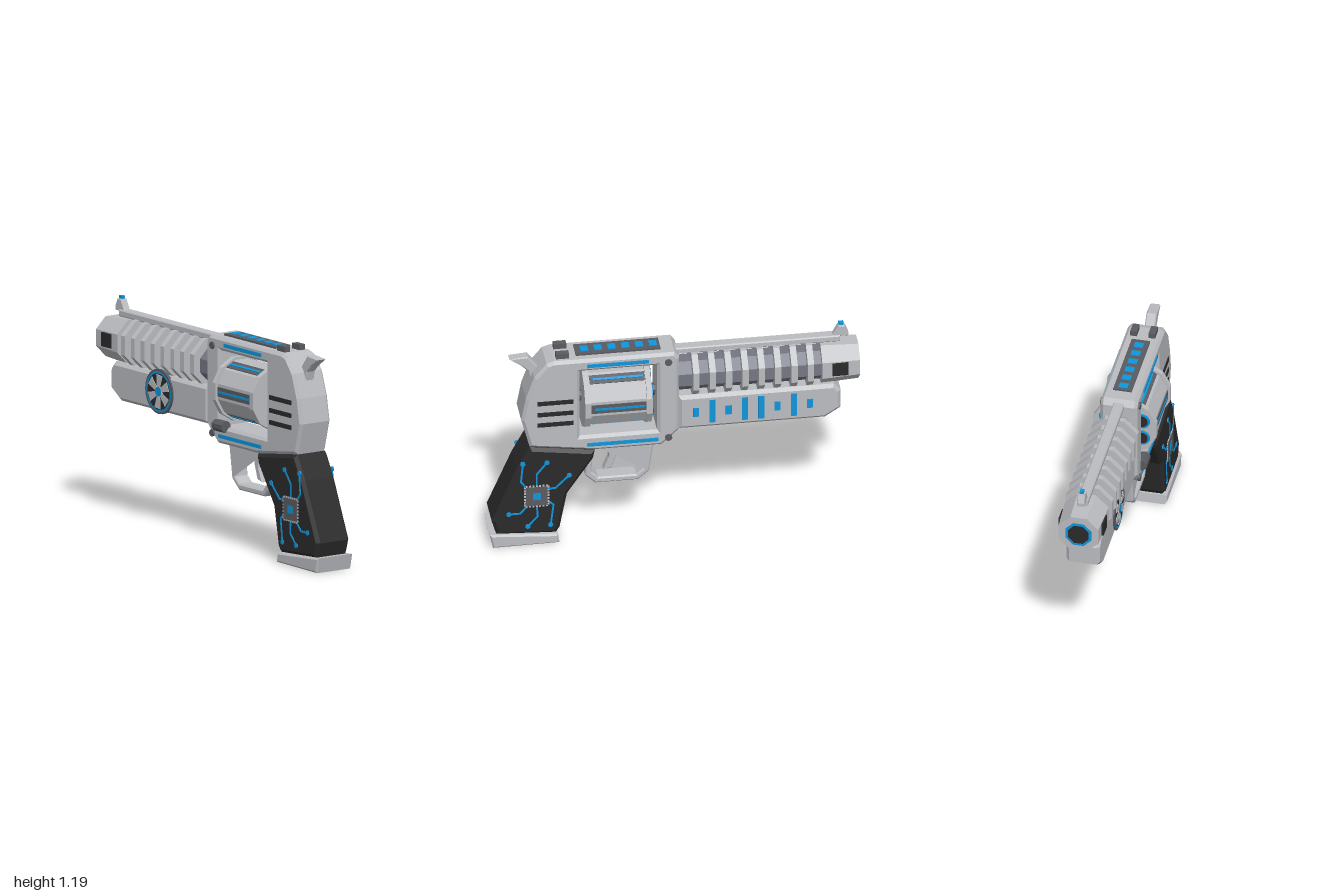
import * as THREE from 'three';

const mat = (name, hex) => Object.assign(new THREE.MeshStandardMaterial({ color: hex }), { name });

export function createModel() {
  const root = new THREE.Group();
  root.name = 'toyRevolver';
  const light = mat('lightGrey', 0xbabcc0), steel = mat('steelGrey', 0x747783);
  const dark = mat('darkGrey', 0x5a5b60), black = mat('black', 0x2a2a2b);
  const blue = mat('blue', 0x1096dc);

  const add = (name, geo, m, parent = root) => {
    const mesh = new THREE.Mesh(geo, m);
    mesh.name = name;
    parent.add(mesh);
    return mesh;
  };
  const box = (name, m, w, h, d, x, y, z, parent) => {
    const b = add(name, new THREE.BoxGeometry(w, h, d), m, parent);
    b.position.set(x, y, z);
    return b;
  };
  // Bevelled slab from a side outline of [z, y] points, centred on x = 0
  const slab = (name, m, pts, half, bevel, holes = [], parent = root) => {
    const v = (a) => a.map(([z, y]) => new THREE.Vector2(-z, y));
    const shape = new THREE.Shape(v(pts));
    holes.forEach((h) => shape.holes.push(new THREE.Path(v(h))));
    const geo = new THREE.ExtrudeGeometry(shape, {
      depth: 2 * (half - bevel), bevelEnabled: bevel > 0, bevelSize: bevel,
      bevelThickness: bevel, bevelOffset: -bevel, bevelSegments: 1,
    });
    geo.translate(0, 0, -(half - bevel)).rotateY(Math.PI / 2);
    return add(name, geo, m, parent);
  };
  // Faceted prism along z; sizes are measured to the flats
  const prism = (name, m, n, rBack, rFront, zBack, zFront, y, x = 0, parent = root) => {
    const k = 1 / Math.cos(Math.PI / n);
    let geo = new THREE.CylinderGeometry(rBack * k, rFront * k, zBack - zFront, n);
    geo.rotateY(Math.PI / n).rotateX(Math.PI / 2).translate(x, y, (zBack + zFront) / 2);
    geo = geo.toNonIndexed();
    geo.computeVertexNormals();
    return add(name, geo, m, parent);
  };
  // Flat round disc facing sideways
  const disc = (name, m, r, t, x, y, z, n = 12, parent = root) => {
    const d = add(name, new THREE.CylinderGeometry(r, r, t, n).rotateZ(Math.PI / 2), m, parent);
    d.position.set(x, y, z);
    return d;
  };

  // Frame with an open window
  slab('frame', light, [[0.69, 1.125], [0.65, 1.138], [0, 1.138], [-0.025, 1.105], [-0.025, 0.65],
    [0.07, 0.56], [0.43, 0.56], [0.78, 0.61], [0.825, 0.78], [0.8, 0.915], [0.755, 1.045]],
  0.1, 0.016, [[[0.51, 1.065], [0.51, 0.655], [0.095, 0.655], [0.095, 1.065]]]);

  // Frame side details, both sides
  for (const s of [-1, 1]) {
    box('upperLightStrip', blue, 0.008, 0.02, 0.33, s * 0.101, 1.1, 0.305);
    box('lowerLightStrip', blue, 0.008, 0.02, 0.38, s * 0.101, 0.602, 0.28);
    for (const y of [0.885, 0.815, 0.75]) box('vent', black, 0.009, 0.024, 0.195, s * 0.101, y, 0.643);
    for (const y of [1.085, 0.61]) disc('screw', dark, 0.02, 0.016, s * 0.101, y, 0.035, 8);
    box('rearSight', dark, 0.036, 0.045, 0.07, s * 0.05, 1.145, 0.6);
    box('muzzlePort', black, 0.012, 0.076, 0.085, s * 0.117, 0.965, -0.888);
  }

  // Top panel with light tiles
  box('topPanel', dark, 0.1, 0.014, 0.455, 0, 1.141, 0.298);
  for (let i = 0; i < 6; i++) box('topLight', blue, 0.05, 0.008, 0.042, 0, 1.148, 0.106 + i * 0.074);

  // Hammer
  slab('hammer', light, [[0.88, 1.13], [0.78, 1.14], [0.73, 1.075], [0.7, 0.98], [0.765, 0.98],
    [0.78, 1.05], [0.815, 1.085]], 0.028, 0.006);

  // Rotating drum with flutes and chambers
  const drumY = 0.86;
  prism('drum', light, 12, 0.158, 0.158, 0.462, 0.158, drumY);
  prism('drumRearRim', light, 12, 0.172, 0.172, 0.493, 0.46, drumY);
  prism('drumFrontRim', light, 12, 0.172, 0.172, 0.16, 0.13, drumY);
  prism('drumAxle', dark, 8, 0.03, 0.03, 0.515, 0.09, drumY);
  for (let i = 0; i < 6; i++) {
    const flute = new THREE.Group();
    flute.name = 'drumFlute';
    flute.position.y = drumY;
    flute.rotation.z = i * Math.PI / 3;
    root.add(flute);
    box('fluteSlot', dark, 0.008, 0.052, 0.296, 0.158, 0, 0.31, flute);
    box('fluteLight', blue, 0.006, 0.013, 0.27, 0.162, 0, 0.305, flute);
    const a = (i + 0.5) * Math.PI / 3, x = 0.108 * Math.cos(a), y = drumY + 0.108 * Math.sin(a);
    prism('chamberRing', blue, 12, 0.044, 0.044, 0.132, 0.123, y, x);
    prism('chamberBore', black, 12, 0.033, 0.033, 0.132, 0.12, y, x);
  }
  prism('drumLatch', dark, 8, 0.03, 0.03, 0.16, 0.07, 0.66, -0.103);

  // Barrel, cooling ribs and muzzle
  const barrelY = 0.962;
  prism('barrel', steel, 8, 0.088, 0.088, 0.0, -0.8, barrelY - 0.01);
  for (let i = 0; i < 8; i++) {
    const z = -0.112 - i * 0.088;
    prism('coolingRib', light, 8, 0.128, 0.128, z + 0.017, z - 0.017, barrelY);
  }
  prism('muzzle', light, 8, 0.119, 0.108, -0.79, -0.995, barrelY);
  prism('muzzleRing', blue, 8, 0.07, 0.07, -0.99, -0.999, barrelY);
  prism('muzzleBore', black, 8, 0.056, 0.056, -0.99, -1.0, barrelY);

  // Top rail and front sight
  slab('topRail', light, [[0, 1.12], [-0.9, 1.12], [-0.9, 1.083], [0, 1.083]], 0.03, 0.006);
  slab('frontSight', light, [[-0.855, 1.11], [-0.87, 1.135], [-0.892, 1.175], [-0.925, 1.175],
    [-0.945, 1.13], [-0.945, 1.11]], 0.02, 0.004);
  box('sightTip', blue, 0.02, 0.02, 0.026, 0, 1.181, -0.907);

  // Housing under the barrel with marks on one side
  slab('underHousing', light, [[-0.02, 0.85], [-0.86, 0.85], [-0.895, 0.81], [-0.895, 0.7],
    [-0.81, 0.645], [-0.02, 0.645]], 0.092, 0.018);
  [0, 1, 0, 1, 1, 0, 1, 0].forEach((tall, i) =>
    box('housingLight', blue, 0.008, tall ? 0.14 : 0.054, 0.032, 0.092, 0.748, -0.115 - i * 0.0875));

  // Fan on the other side
  const fan = new THREE.Group();
  fan.name = 'fan';
  fan.position.set(-0.092, 0.755, -0.445);
  root.add(fan);
  disc('fanRim', dark, 0.122, 0.016, 0, 0, 0, 24, fan);
  const ring = (r0, r1) => new THREE.RingGeometry(r0, r1, 24).rotateY(-Math.PI / 2);
  add('fanLightRing', ring(0.099, 0.111), blue, fan).position.x = -0.0095;
  disc('fanWell', black, 0.1, 0.017, 0, 0, 0, 24, fan);
  for (let i = 0; i < 6; i++) {
    const blade = slab('fanBlade', light, [[-0.012, 0.02], [0.012, 0.02], [0.034, 0.088], [-0.018, 0.094]],
      0.004, 0, [], fan);
    blade.position.x = -0.008;
    blade.rotation.x = i * Math.PI / 3;
  }
  disc('fanHub', blue, 0.026, 0.01, -0.009, 0, 0, 12, fan);

  // Trigger and guard
  slab('triggerGuard', light, [[0.46, 0.58], [0.475, 0.37], [0.42, 0.318], [0.19, 0.318], [0.13, 0.37],
    [0.1, 0.58]], 0.045, 0.008,
  [[[0.43, 0.57], [0.44, 0.39], [0.405, 0.352], [0.2, 0.352], [0.16, 0.385], [0.13, 0.57]]]);
  slab('trigger', light, [[0.3, 0.57], [0.305, 0.47], [0.33, 0.395], [0.375, 0.385], [0.345, 0.46],
    [0.34, 0.57]], 0.025, 0.005);

  // Grip and its base plate
  slab('grip', black, [[0.78, 0.61], [0.43, 0.56], [0.44, 0.51], [0.58, 0.3], [0.62, 0.09], [0.64, 0.06],
    [0.96, 0.075], [0.985, 0.16], [0.85, 0.48]], 0.108, 0.018);
  slab('gripBase', light, [[0.998, 0.083], [0.63, 0.058], [0.622, 0.004], [0.98, 0.0]], 0.117, 0.01);

  // Circuit pattern on both grip faces, each trace ending in a dot
  const traces = [
    [[0.82, 0.515], [0.83, 0.405], [0.795, 0.355]],
    [[0.69, 0.515], [0.745, 0.445], [0.745, 0.36]],
    [[0.57, 0.425], [0.645, 0.35], [0.69, 0.35]],
    [[0.895, 0.205], [0.835, 0.205], [0.79, 0.255]],
    [[0.793, 0.12], [0.74, 0.18], [0.745, 0.255]],
    [[0.67, 0.12], [0.655, 0.245], [0.69, 0.28]],
  ];
  for (const s of [-1, 1]) {
    const x = s * 0.108;
    for (const t of traces) {
      disc('traceDot', blue, 0.014, 0.009, x, t[0][1], t[0][0]);
      for (let i = 0; i < 2; i++) {
        const [z0, y0] = t[i], [z1, y1] = t[i + 1];
        const seg = box('trace', blue, 0.007, 0.01, Math.hypot(z1 - z0, y1 - y0) + 0.006,
          x, (y0 + y1) / 2, (z0 + z1) / 2);
        seg.rotation.x = -Math.atan2(y1 - y0, z1 - z0);
      }
    }
    box('chip', dark, 0.012, 0.116, 0.116, x, 0.308, 0.745);
    box('chipCore', blue, 0.016, 0.042, 0.042, x, 0.308, 0.745);
    for (let i = 0; i < 7; i++) {
      const d = (i - 3) * 0.018;
      for (const e of [-0.062, 0.062]) {
        box('chipPin', light, 0.008, 0.01, 0.012, x, 0.308 + d, 0.745 + e);
        box('chipPin', light, 0.008, 0.012, 0.01, x, 0.308 + e, 0.745 + d);
      }
    }
  }
  return root;
}
